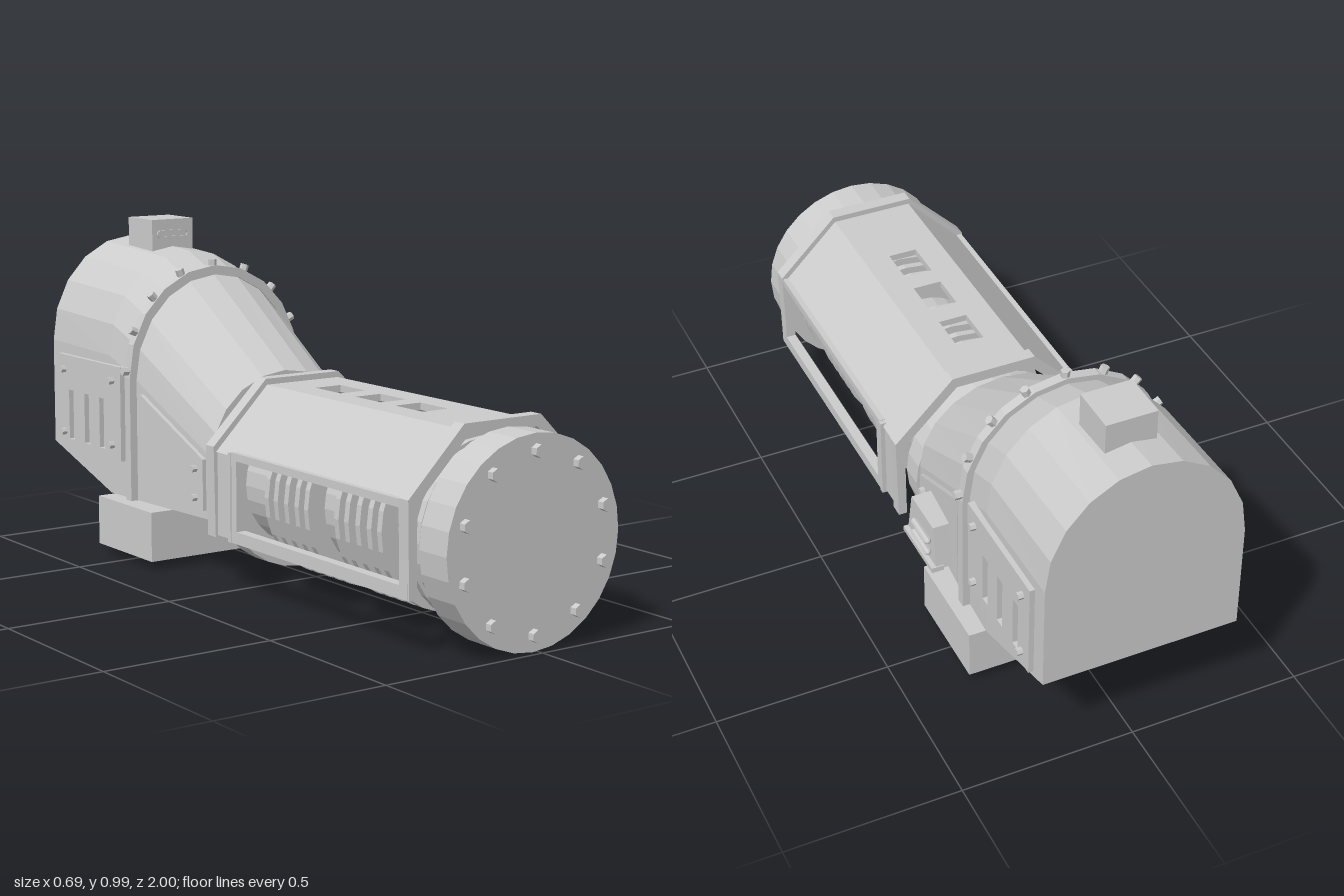
import * as THREE from 'three';

const mat = new THREE.MeshStandardMaterial({ color: 0xcccccc, flatShading: true, side: THREE.DoubleSide });
const AXIS_Y = 0.29; // height of the barrel axis

export function createModel() {
  const model = new THREE.Group();
  model.name = 'machine';
  const body = new THREE.Group();
  body.name = 'body';
  body.position.x = -0.015;
  model.add(body);

  const add = (name, geo) => {
    const m = new THREE.Mesh(geo, mat);
    m.name = name;
    body.add(m);
    return m;
  };
  const shapeOf = (pts) => new THREE.Shape(pts.map(([x, y]) => new THREE.Vector2(x, y)));
  const extrude = (shape, depth) => new THREE.ExtrudeGeometry(shape, { depth, bevelEnabled: false });
  const rect = (x0, y0, x1, y1) => [[x0, y0], [x1, y0], [x1, y1], [x0, y1]];
  const box = (name, x0, x1, y0, y1, z0, z1) =>
    add(name, new THREE.BoxGeometry(x1 - x0, y1 - y0, z1 - z0)
      .translate((x0 + x1) / 2, (y0 + y1) / 2, (z0 + z1) / 2));
  // Disc on the barrel axis
  const drum = (name, r, z0, z1, sides = 28) =>
    add(name, new THREE.CylinderGeometry(r, r, z1 - z0, sides).rotateX(Math.PI / 2)
      .translate(0, AXIS_Y, (z0 + z1) / 2));
  // Hexagonal bolt pointing along dir
  const bolt = (name, pos, dir, r = 0.011, h = 0.022) => {
    const m = add(name, new THREE.CylinderGeometry(r, r, h, 6));
    m.position.set(...pos);
    m.quaternion.setFromUnitVectors(new THREE.Vector3(0, 1, 0), new THREE.Vector3(...dir).normalize());
  };
  // Plate on a flank, outlined in (z, y); slope makes it follow the tapering casing
  const sidePlate = (name, side, pts, holes, x, t, slope = 0) => {
    const flip = (p) => p.map(([z, y]) => [-z, y]);
    const s = shapeOf(flip(pts));
    holes.forEach((h) => s.holes.push(shapeOf(flip(h))));
    const g = extrude(s, t).rotateY(Math.PI / 2).translate(side > 0 ? x : -x - t, 0, 0);
    const p = g.attributes.position;
    for (let i = 0; i < p.count; i++) p.setX(i, p.getX(i) + side * slope * (-0.14 - p.getZ(i)));
    add(name, g);
  };

  // Front end cap with its ring of bolts
  drum('endCap', 0.285, 0.87, 0.98);
  for (let i = 0; i < 10; i++) {
    const a = (i / 10) * Math.PI * 2;
    bolt('endCapBolt', [0.24 * Math.sin(a), AXIS_Y + 0.24 * Math.cos(a), 0.988], [0, 0, 1], 0.018, 0.024);
  }

  // Barrel with cooling fins
  drum('barrel', 0.19, -0.185, 0.88);
  drum('barrelCollar', 0.24, 0.835, 0.875);
  drum('rearRing', 0.26, -0.125, -0.055);
  [0.81, 0.77, 0.65, 0.605, 0.555, 0.505, 0.46, 0.32, 0.275, 0.225, 0.175, 0.13].forEach((z) =>
    drum('coolingFin', 0.245, z - 0.01, z + 0.01));

  // Hood: sloped panels, slotted top and end flanges
  for (const s of [-1, 1]) {
    const slope = shapeOf([[0.297, 0.4], [0.123, 0.575], [0.115, 0.555], [0.277, 0.395]].map(([x, y]) => [s * x, y]));
    add('hoodSlope', extrude(slope, 0.91).translate(0, 0, -0.075));
  }
  const top = shapeOf(rect(-0.123, -0.835, 0.123, 0.075));
  [[0.08, 0.2], [0.27, 0.385], [0.45, 0.57]].forEach(([a, b]) =>
    top.holes.push(shapeOf(rect(-0.043, -b, 0.043, -a))));
  add('hoodTop', extrude(top, 0.02).rotateX(-Math.PI / 2).translate(0, 0.555, 0));
  const outer = [[0.3, 0.155], [0.305, 0.415], [0.127, 0.592]];
  const inner = [[0.275, 0.155], [0.277, 0.4], [0.115, 0.56]];
  const mirrored = (pts) => pts.slice().reverse().map(([x, y]) => [-x, y]);
  const band = shapeOf([...outer, ...mirrored(outer), ...mirrored(inner).reverse(), ...inner.slice().reverse()]);
  for (const z of [0.81, -0.085]) add('hoodFlange', extrude(band, 0.04).translate(0, 0, z));

  // Hood flanks: long open window and a short closed panel
  for (const s of [-1, 1]) {
    sidePlate('windowFrame', s, rect(0.04, 0.155, 0.845, 0.412), [rect(0.065, 0.19, 0.81, 0.39)], 0.272, 0.03);
    sidePlate('shortPanel', s, rect(-0.06, 0.16, 0.04, 0.405), [], 0.27, 0.022);
    sidePlate('panelStrip', s, rect(0.025, 0.155, 0.04, 0.41), [], 0.275, 0.03);
  }

  // Rear casing lofted through arched cross-sections
  const arch = (hw, bottom, spring, rise, n = 10) => {
    const pts = [[hw, bottom]];
    for (let i = 0; i <= n; i++) {
      const a = (i / n) * Math.PI;
      pts.push([hw * Math.cos(a), spring + rise * Math.sin(a)]);
    }
    pts.push([-hw, bottom]);
    return pts;
  };
  const loft = (sections) => {
    const v = [];
    const n = sections[0].pts.length;
    const put = (s, i) => v.push(...s.pts[i % n], s.z);
    for (let k = 0; k < sections.length - 1; k++) {
      const f = sections[k], b = sections[k + 1];
      for (let i = 0; i < n; i++) {
        put(f, i); put(b, i); put(f, i + 1);
        put(f, i + 1); put(b, i); put(b, i + 1);
      }
    }
    const first = sections[0], last = sections[sections.length - 1];
    for (let i = 1; i < n - 1; i++) {
      put(first, 0); put(first, i); put(first, i + 1);
      put(last, 0); put(last, i + 1); put(last, i);
    }
    const g = new THREE.BufferGeometry();
    g.setAttribute('position', new THREE.Float32BufferAttribute(v, 3));
    g.computeVertexNormals();
    return g;
  };
  add('rearCasing', loft([
    { z: -0.135, pts: arch(0.252, 0.18, 0.36, 0.235) },
    { z: -0.52, pts: arch(0.28, 0.18, 0.55, 0.295) },
    { z: -0.65, pts: arch(0.285, 0.18, 0.6, 0.3) },
    { z: -0.995, pts: arch(0.285, 0.29, 0.61, 0.312) },
  ]));

  // Arched seam rib with bolts
  const rib = shapeOf([...arch(0.302, 0.18, 0.55, 0.318), ...arch(0.275, 0.18, 0.55, 0.29).reverse()]);
  add('seamRib', extrude(rib, 0.03).translate(0, 0, -0.535));
  for (let i = 0; i <= 8; i++) {
    const a = Math.PI * (0.02 + 0.96 * i / 8);
    const c = Math.cos(a), n = Math.sin(a);
    bolt('seamBolt', [0.307 * c, 0.55 + 0.322 * n, -0.52], [c, n, 0], 0.013, 0.026);
  }

  for (const s of [-1, 1]) {
    // Vented rear plate
    const slots = [-0.675, -0.765, -0.86].map((z) => rect(z - 0.016, 0.315, z + 0.016, 0.468));
    sidePlate('ventPlate', s, rect(-0.94, 0.29, -0.565, 0.575), slots, 0.28, 0.02);
    for (const z of [-0.61, -0.9]) for (const y of [0.335, 0.53])
      bolt('ventBolt', [s * 0.305, y, z], [s, 0, 0]);
    // Slanted front plate
    sidePlate('slantPlate', s, [[-0.165, 0.205], [-0.165, 0.355], [-0.47, 0.505], [-0.47, 0.205]], [], 0.25, 0.014, 0.075);
    for (const y of [0.24, 0.325]) bolt('slantBolt', [s * 0.272, y, -0.2], [s, 0, 0]);
  }

  // Louvred control box on the left flank
  sidePlate('controlBox', 1, [[-0.23, 0.235], [-0.258, 0.37], [-0.405, 0.37], [-0.425, 0.235]], [], 0.27, 0.062);
  sidePlate('controlBoxLip', 1, [[-0.228, 0.23], [-0.23, 0.245], [-0.427, 0.245], [-0.428, 0.23]], [], 0.31, 0.036);
  for (const y of [0.277, 0.317])
    add('louvre', new THREE.CapsuleGeometry(0.01, 0.09, 3, 8).rotateX(Math.PI / 2).translate(0.342, y, -0.345));

  // Base block
  box('baseBlock', -0.333, 0.333, 0.03, 0.177, -0.645, -0.34);

  // Roof box with a slot rim on its front
  box('roofBox', -0.073, 0.073, 0.88, 0.99, -0.885, -0.745);
  const stadium = (Type, half, r) => {
    const p = new Type();
    p.absarc(half, 0, r, -Math.PI / 2, Math.PI / 2, false);
    p.absarc(-half, 0, r, Math.PI / 2, Math.PI * 1.5, false);
    p.closePath();
    return p;
  };
  const slot = stadium(THREE.Shape, 0.044, 0.012);
  slot.holes.push(stadium(THREE.Path, 0.044, 0.007));
  add('roofSlotRim', extrude(slot, 0.006).translate(0, 0.945, -0.746));

  return model;
}
